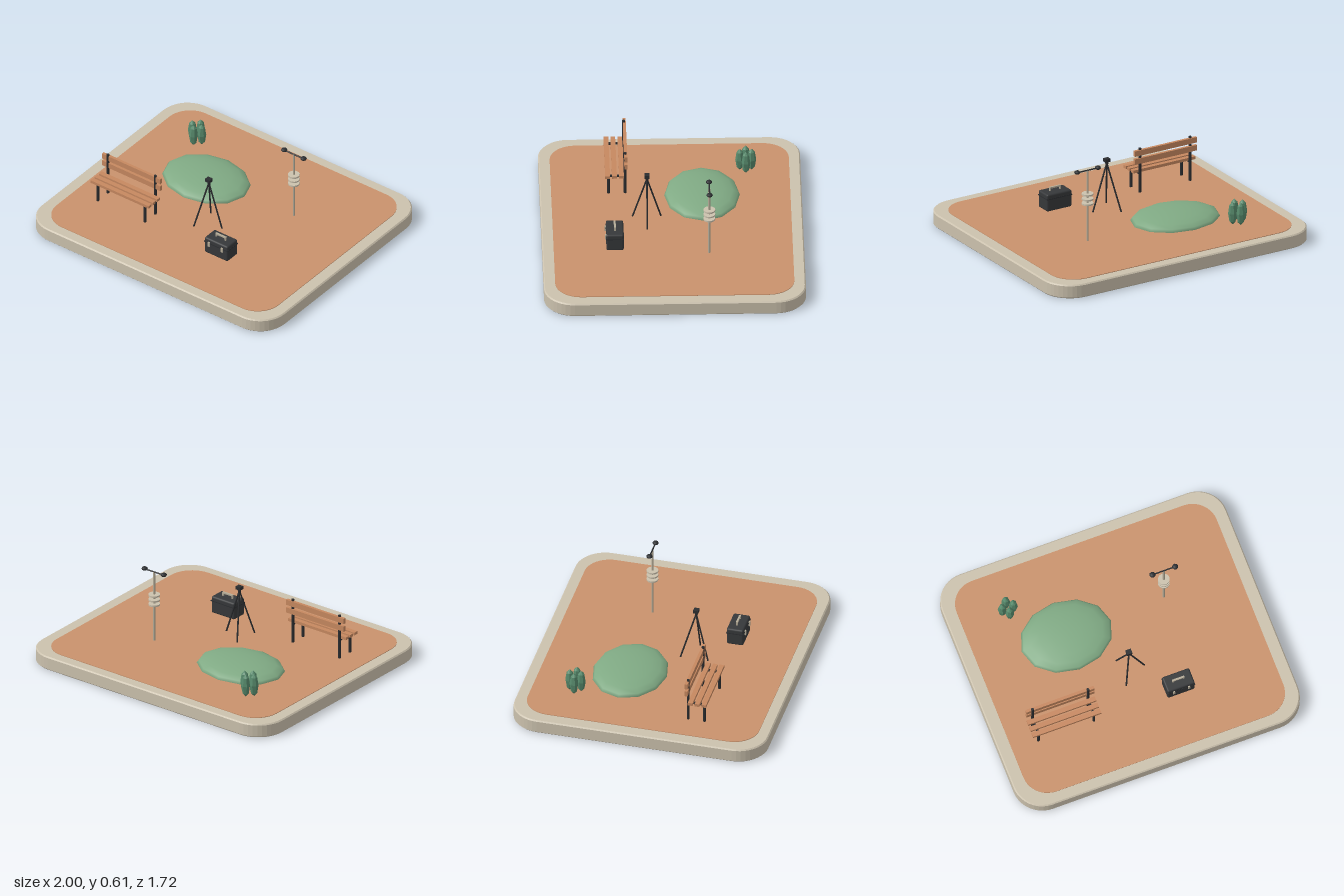
import * as THREE from 'three';
import { RoundedBoxGeometry } from 'three/addons/geometries/RoundedBoxGeometry.js';

const material = (name, color, flatShading = false) => {
  const m = new THREE.MeshStandardMaterial({ color, flatShading });
  m.name = name;
  return m;
};

export function createModel() {
  const stone = material('stone', 0xcbc1ad);
  const clay = material('clay', 0xc9926c);
  const wood = material('wood', 0xc68860);
  const grass = material('grass', 0x80aa84);
  const leaf = material('leaf', 0x578a6c, true);
  const black = material('black', 0x2b2d30);
  const shell = material('shell', 0x36383a);
  const metal = material('metal', 0xb5ac98);

  const model = new THREE.Group();
  model.name = 'parkDiorama';

  const group = (name, x = 0, y = 0, z = 0) => {
    const g = new THREE.Group();
    g.name = name;
    g.position.set(x, y, z);
    model.add(g);
    return g;
  };
  const add = (parent, name, geometry, mat, x = 0, y = 0, z = 0) => {
    const m = new THREE.Mesh(geometry, mat);
    m.name = name;
    m.position.set(x, y, z);
    parent.add(m);
    return m;
  };
  // Round bar between two points
  const bar = (parent, name, a, b, r, mat, sides = 8) => {
    const p = new THREE.Vector3(...a), q = new THREE.Vector3(...b);
    const d = q.clone().sub(p);
    const m = add(parent, name, new THREE.CylinderGeometry(r, r, d.length(), sides), mat);
    m.position.copy(p).add(q).multiplyScalar(0.5);
    m.quaternion.setFromUnitVectors(new THREE.Vector3(0, 1, 0), d.normalize());
    return m;
  };
  // Flat slab with rounded corners, lying in the ground plane
  const slab = (w, d, r, height, bevel) => {
    const x = w / 2 - bevel, z = d / 2 - bevel, s = new THREE.Shape();
    const c = r - bevel;
    s.absarc(x - c, z - c, c, 0, Math.PI / 2);
    s.absarc(-x + c, z - c, c, Math.PI / 2, Math.PI);
    s.absarc(-x + c, -z + c, c, Math.PI, Math.PI * 1.5);
    s.absarc(x - c, -z + c, c, Math.PI * 1.5, Math.PI * 2);
    const g = new THREE.ExtrudeGeometry(s, {
      depth: height - 2 * bevel, curveSegments: 5, bevelEnabled: bevel > 0,
      bevelSize: bevel, bevelThickness: bevel, bevelSegments: 1,
    });
    return g.translate(0, 0, bevel).rotateX(-Math.PI / 2);
  };

  // Ground
  const ground = group('ground');
  add(ground, 'plinth', slab(2, 1.724, 0.2, 0.096, 0.008), stone);
  add(ground, 'clayPad', slab(1.83, 1.574, 0.17, 0.008, 0), clay, 0, 0.092, 0);

  // Low grassy mound
  const mound = add(model, 'mound',
    new THREE.SphereGeometry(1, 12, 5, 0, Math.PI * 2, 0, Math.PI / 2), grass, -0.3, 0.098, -0.205);
  mound.scale.set(0.315, 0.066, 0.25);

  // Shrub made of four pointed lobes
  const shrub = group('shrub', -0.6, 0.18, -0.5);
  for (let i = 0; i < 4; i++) {
    const a = i * Math.PI / 2;
    const lobe = add(shrub, 'shrubLobe', new THREE.SphereGeometry(0.03, 7, 4), leaf,
      Math.cos(a) * 0.039, 0, Math.sin(a) * 0.039);
    lobe.scale.y = 2.7;
    lobe.rotation.y = a;
  }

  // Bench
  const bench = group('bench', -0.535);
  for (const z of [0.324, 0.371, 0.416])
    add(bench, 'seatSlat', new THREE.BoxGeometry(0.48, 0.02, 0.032), wood, 0, 0.248, z);
  for (const y of [0.327, 0.383])
    add(bench, 'backSlat', new THREE.BoxGeometry(0.48, 0.038, 0.02), wood, 0, y, 0.296);
  for (const x of [-0.195, 0.195]) {
    bar(bench, 'backPost', [x, 0.098, 0.3], [x, 0.413, 0.3], 0.01, black);
    bar(bench, 'frontLeg', [x, 0.098, 0.41], [x, 0.24, 0.41], 0.01, black);
    add(bench, 'seatRail', new THREE.BoxGeometry(0.014, 0.012, 0.11), black, x, 0.233, 0.355);
  }

  // Tripod
  const tripod = group('tripod', 0, 0, 0.165);
  for (let i = 0; i < 3; i++) {
    const a = i * Math.PI * 2 / 3;
    bar(tripod, 'tripodLeg', [0, 0.425, 0],
      [Math.cos(a) * 0.108, 0.1, Math.sin(a) * 0.108], 0.0055, black, 6);
  }
  add(tripod, 'tripodNeck', new THREE.CylinderGeometry(0.012, 0.008, 0.04, 8), black, 0, 0.42, 0);
  add(tripod, 'tripodHead', new THREE.BoxGeometry(0.038, 0.022, 0.034), black, 0, 0.448, 0);

  // Equipment case
  const kit = group('equipmentCase', 0.265, 0, 0.383);
  add(kit, 'caseBody', new RoundedBoxGeometry(0.192, 0.12, 0.114, 2, 0.012), shell, 0, 0.158, 0);
  add(kit, 'lidSeam', new THREE.BoxGeometry(0.195, 0.006, 0.117), black, 0, 0.185, 0);
  for (const x of [-0.053, 0.053])
    add(kit, 'latch', new THREE.BoxGeometry(0.014, 0.034, 0.009), metal, x, 0.18, 0.061);
  for (const x of [-0.038, 0.038])
    add(kit, 'handlePost', new THREE.BoxGeometry(0.009, 0.026, 0.012), metal, x, 0.228, 0);
  add(kit, 'handleGrip', new THREE.BoxGeometry(0.085, 0.01, 0.013), metal, 0, 0.24, 0);

  // Weather mast
  const mast = group('weatherMast', 0.398, 0, -0.236);
  bar(mast, 'mastPole', [0, 0.098, 0], [0, 0.598, 0], 0.0075, metal, 10);
  for (const y of [0.364, 0.397, 0.431])
    add(mast, 'shieldDisc', new THREE.CylinderGeometry(0.039, 0.039, 0.011, 16), stone, 0, y, 0);
  bar(mast, 'crossbar', [-0.08, 0.598, 0], [0.08, 0.598, 0], 0.005, black);
  for (const x of [-0.08, 0.08]) {
    const cup = add(mast, 'windCup', new THREE.SphereGeometry(0.021, 8, 6), black, x, 0.6, 0);
    cup.scale.y = 0.65;
  }

  return model;
}
